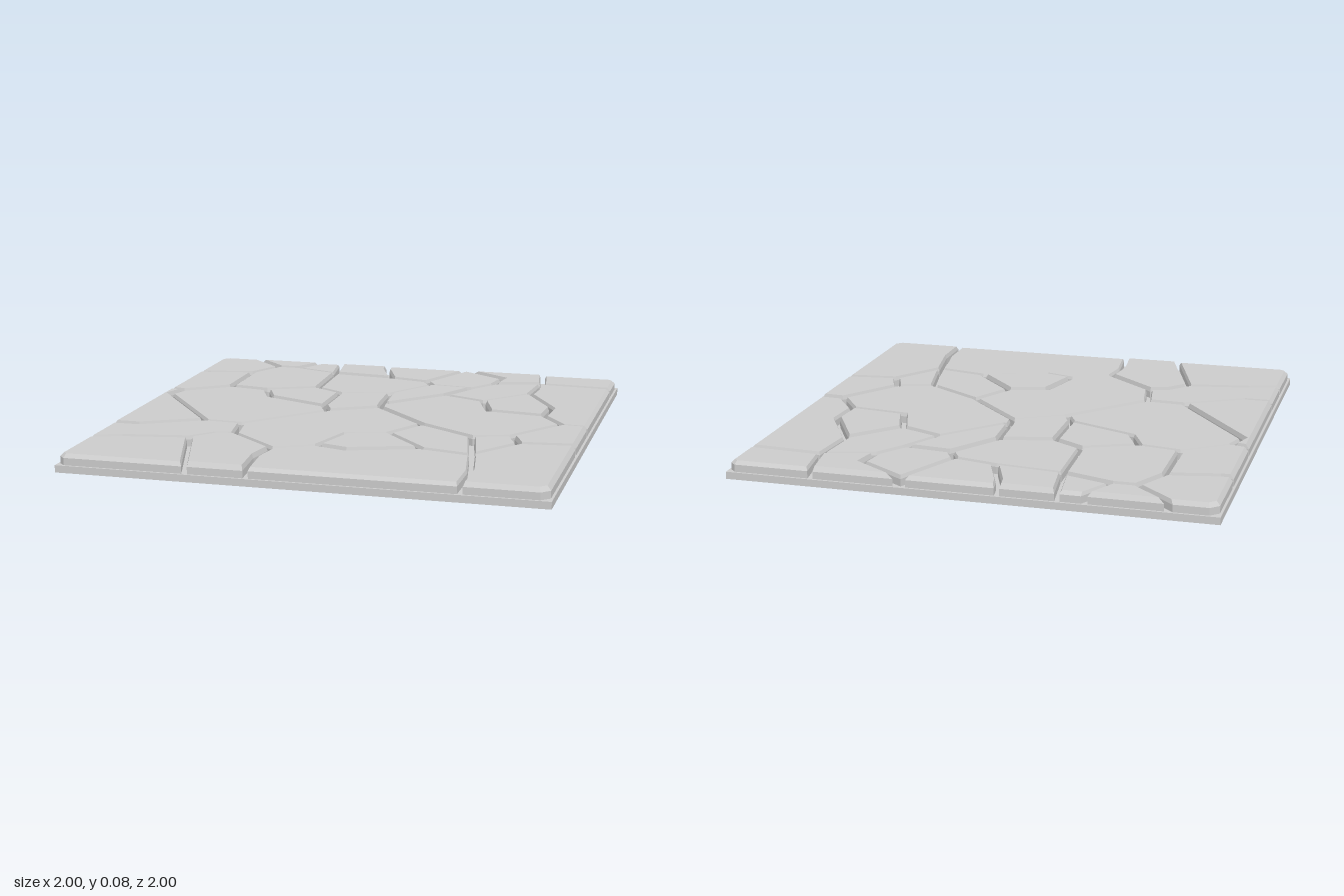
import * as THREE from 'three';

// Joint points on the rim of the slab, as [x, z]
const rim = {
  a: [-1, -0.96], a2: [-0.96, -1], b: [-0.81, -1], c: [-0.47, -1], d: [-0.37, -1], e: [-0.13, -1],
  f: [0.26, -1], g: [0.64, -1], h: [0.97, -1], h2: [1, -0.97], p: [1, -0.78], q: [1, -0.01], r: [1, 0.32],
  s: [1, 0.96], s2: [0.96, 1], o: [0.65, 1], n: [-0.2, 1], m: [-0.45, 1], t: [-0.97, 1], t2: [-1, 0.97],
  l: [-1, 0.69], k: [-1, 0.43], j: [-1, -0.26], i: [-1, -0.65],
};

// Joint points inside the slab, where neighbouring stones meet
const joints = {
  A: [-0.65, -0.85], A1: [-0.55, -0.85], B: [-0.73, -0.69], B1: [-0.8, -0.68], B2: [-0.94, -0.65],
  C: [-0.34, -0.78], D: [-0.05, -0.75], D1: [-0.12, -0.93], E: [0.13, -0.71], E1: [0.17, -0.64],
  F: [0.47, -0.86], F1: [0.45, -0.74], F2: [0.37, -0.62], G: [0.67, -0.8], H: [-0.73, -0.38],
  H1: [-0.92, -0.24], H2: [-0.95, -0.15], I: [-0.33, -0.45], J: [-0.55, -0.35], J1: [-0.49, -0.22],
  K: [0.03, -0.42], K1: [0.04, -0.23], L: [-0.2, -0.37], L1: [-0.2, -0.1], M: [0.28, -0.45],
  M1: [0.07, -0.22], N: [0.65, -0.57], O: [0.47, -0.37], P: [0.53, -0.19], Q: [0.78, -0.16],
  Q1: [0.79, -0.32], R: [0.88, -0.02], S: [0.71, 0.23], T: [0.55, 0.28], U: [0.3, 0.12], V: [0.05, -0.14],
  W: [0.76, 0.35], X: [0.61, 0.57], X1: [0.65, 0.8], Y: [0.39, 0.52], Z: [0.2, 0.31],
  Z1: [0.03, 0.36], Z2: [-0.03, 0.58], Z3: [0.1, 0.62], u: [-0.2, 0.67], u1: [-0.22, 0.8],
  v: [-0.42, 0.48], v1: [-0.5, 0.5], v2: [-0.58, 0.59], w: [-0.45, 0.3], w1: [-0.62, 0.29],
  x: [-0.16, -0.02], y: [-0.87, 0.43], z: [-0.86, 0.64],
};
const nodes = { ...rim, ...joints };

// Each paving stone as a loop of joint points
const stones = [
  'a a2 b A B B1 B2 i', 'b c A1 A', 'c d C A1', 'd e D1 D C', 'e f E D D1', 'f F F1 F2 E1 E',
  'f g G F1 F', 'g h h2 p G', 'i B2 B1 B H H1 j', 'A A1 C I J H B', 'C D E E1 K L I',
  'E1 F2 M M1 K1 K', 'F1 G N O M F2', 'M O P Q R S T U V K1 M1', 'N Q1 Q P O',
  'G p q R Q Q1 N', 'q r W S R', 'T S W X', 'U T X Y Z', 'Z Y Z3 Z2 Z1',
  'V U Z Z1 Z2 u v w x', 'I L L1 J1 J', 'L K K1 V x L1', 'H J J1 L1 x w w1 H2 H1',
  'j H1 H2 w1 y k', 'k y w1 w v v1 v2 z l', 'l z v2 m t t2', 'v2 v1 v u u1 n m',
  'n u1 u Z2 Z3 Y X X1 o', 'r W X X1 o s2 s',
];

const isRim = ([x, z], [x2, z2]) => Math.max(Math.abs(x), Math.abs(z)) === 1
  && Math.max(Math.abs(x2), Math.abs(z2)) === 1;

// Move every edge of a counter-clockwise loop inward and intersect neighbouring edges
function inset(loop, inner, outer) {
  const edges = loop.map((p, i) => {
    const q = loop[(i + 1) % loop.length];
    const len = Math.hypot(q[0] - p[0], q[1] - p[1]);
    return { x: (p[1] - q[1]) / len, y: (q[0] - p[0]) / len, d: isRim(p, q) ? outer : inner };
  });
  return loop.map((p, i) => {
    const e = edges[(i + loop.length - 1) % loop.length], f = edges[i];
    const det = e.x * f.y - e.y * f.x;
    if (Math.abs(det) < 0.15) {
      const d = (e.d + f.d) / 2;
      return new THREE.Vector2(p[0] + f.x * d, p[1] + f.y * d);
    }
    return new THREE.Vector2(
      p[0] + (e.d * f.y - f.d * e.y) / det,
      p[1] + (f.d * e.x - e.d * f.x) / det);
  });
}

// Stone with upright sides, a bevelled rim and a flat top
function stoneGeometry(names, top) {
  let loop = names.split(' ').map((key) => nodes[key]);
  const area = THREE.ShapeUtils.area(loop.map(([x, z]) => new THREE.Vector2(x, z)));
  if (area < 0) loop = loop.reverse();
  const foot = inset(loop, 0.011, 0.01), crown = inset(loop, 0.017, 0.025);
  const rings = [[foot, 0.02], [foot, 0.06], [crown, top]];
  const pos = [];
  const put = (ring, i) => pos.push(ring[0][i].x, ring[1], ring[0][i].y);
  for (let k = 0; k < 2; k++) {
    const low = rings[k], high = rings[k + 1];
    for (let i = 0; i < loop.length; i++) {
      const j = (i + 1) % loop.length;
      put(low, i); put(high, i); put(high, j);
      put(low, i); put(high, j); put(low, j);
    }
  }
  for (const [a, b, c] of THREE.ShapeUtils.triangulateShape(crown, [])) {
    put(rings[2], a); put(rings[2], c); put(rings[2], b);
  }
  const geo = new THREE.BufferGeometry();
  geo.setAttribute('position', new THREE.Float32BufferAttribute(pos, 3));
  geo.computeVertexNormals();
  return geo;
}

export function createModel() {
  const group = new THREE.Group();
  group.name = 'stoneFloorTile';
  const material = new THREE.MeshStandardMaterial({ color: 0xcccccc, flatShading: true });

  // Square slab under the stones
  const slab = new THREE.Mesh(new THREE.BoxGeometry(2, 0.03, 2), material);
  slab.name = 'baseSlab';
  slab.position.y = 0.015;
  group.add(slab);

  // Paving stones with slightly uneven heights
  stones.forEach((names, i) => {
    const stone = new THREE.Mesh(stoneGeometry(names, 0.077 + 0.003 * Math.sin(i * 2.4)), material);
    stone.name = `pavingStone${i + 1}`;
    group.add(stone);
  });
  return group;
}
